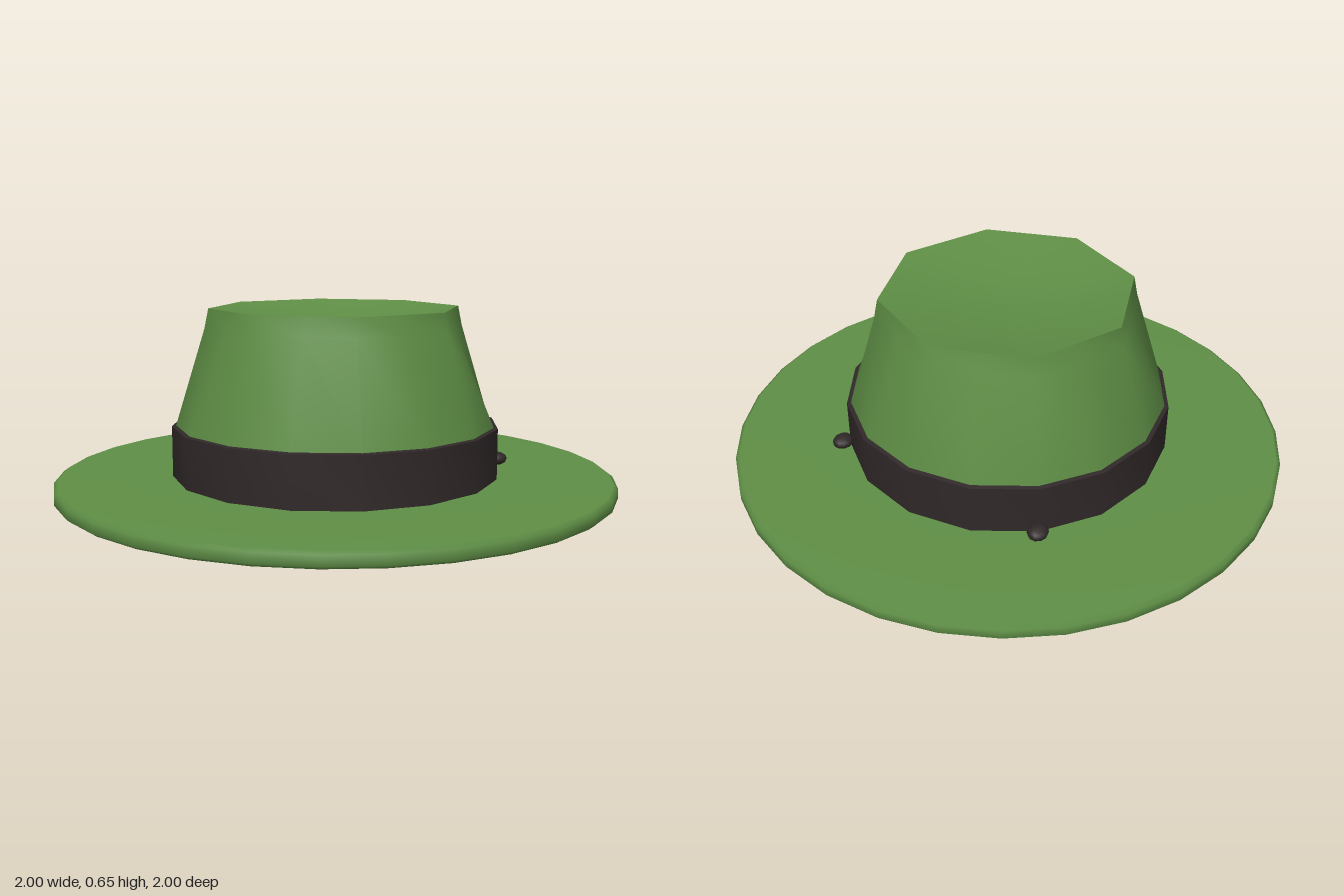
import * as THREE from 'three';
import { toCreasedNormals } from 'three/addons/utils/BufferGeometryUtils.js';

const green = new THREE.MeshStandardMaterial({ color: 0x5f8f46 });
green.name = 'green felt';
const dark = new THREE.MeshStandardMaterial({ color: 0x302829 });
dark.name = 'dark ribbon';

function lathe(points, sides) {
  return new THREE.LatheGeometry(points.map(([r, y]) => new THREE.Vector2(r, y)), sides);
}

// Blends a 16-sided base into an octagon at the top by pulling in every second column.
function octagonTop(geometry, y0, y1) {
  const p = geometry.attributes.position;
  for (let i = 0; i < p.count; i++) {
    const x = p.getX(i), z = p.getZ(i);
    const step = Math.round(Math.atan2(x, z) / (Math.PI / 8));
    if (step % 2 === 0) continue;
    const t = THREE.MathUtils.clamp((p.getY(i) - y0) / (y1 - y0), 0, 1);
    const k = 1 - t * (1 - Math.cos(Math.PI / 8));
    p.setX(i, x * k);
    p.setZ(i, z * k);
  }
  return toCreasedNormals(geometry, 0.9);
}

export function createModel() {
  const hat = new THREE.Group();
  hat.name = 'hat';
  const add = (name, geometry, material) => {
    const mesh = new THREE.Mesh(geometry, material);
    mesh.name = name;
    hat.add(mesh);
    return mesh;
  };

  // Wide flat brim with a softened edge, open in the middle
  add('brim', lathe([[0.54, 0], [0.985, 0], [1, 0.012], [1, 0.045], [0.985, 0.056], [0.56, 0.056]], 32), green);

  // Tapering crown with a shallow dent in its top
  const crown = lathe([[0.572, 0.05], [0.57, 0.24], [0.465, 0.58], [0.45, 0.652],
    [0.34, 0.63], [0.18, 0.605], [0, 0.6]], 16);
  add('crown', octagonTop(crown, 0.24, 0.58), green);

  // Inside of the crown, seen through the opening
  const lining = lathe([[0, 0.585], [0.32, 0.6], [0.44, 0.57], [0.54, 0.24], [0.54, 0]], 16);
  add('lining', octagonTop(lining, 0.24, 0.56), green);

  // Ribbon around the foot of the crown
  add('band', toCreasedNormals(lathe([[0.585, 0.05], [0.585, 0.236], [0.565, 0.24]], 16), 0.9), dark);

  // Small ribbon ends at the back
  for (const side of [-1, 1]) {
    const knot = add(side > 0 ? 'leftKnot' : 'rightKnot', new THREE.SphereGeometry(0.04, 10, 6), dark);
    knot.position.set(side * 0.425, 0.08, -0.44);
    knot.scale.set(0.9, 0.6, 1);
  }
  return hat;
}
